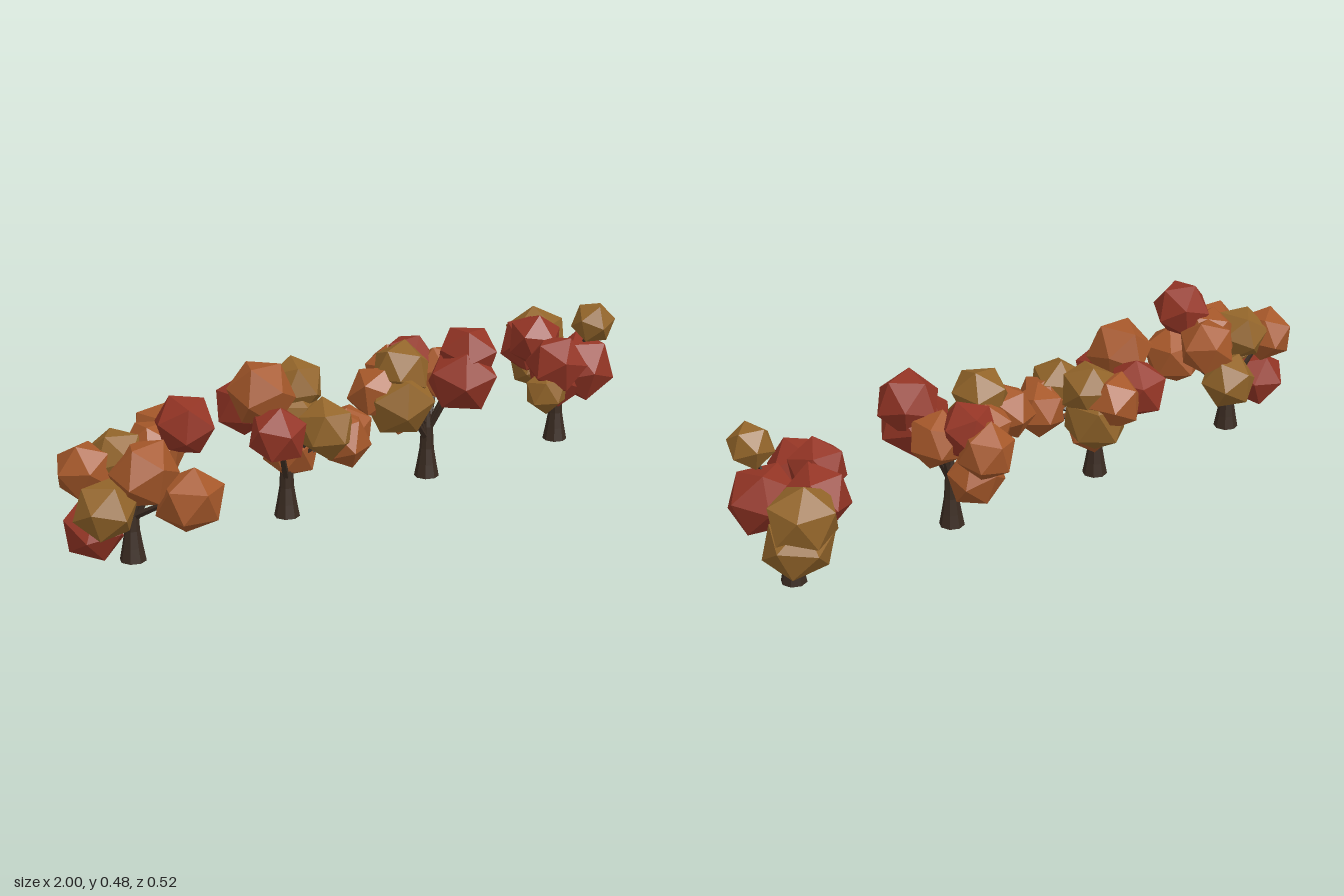
import * as THREE from 'three';

// Leaf clump kinds: colour and size
const leafMaterial = (color) => new THREE.MeshStandardMaterial({ color, flatShading: true });
const redMat = leafMaterial(0x943525);
const orangeMat = leafMaterial(0xa6582a);
const ochreMat = leafMaterial(0x93652a);
const red = { material: redMat, radius: 0.094 };
const bigRed = { material: redMat, radius: 0.106 };
const orange = { material: orangeMat, radius: 0.088 };
const bigOrange = { material: orangeMat, radius: 0.1 };
const ochre = { material: ochreMat, radius: 0.09 };
const bigOchre = { material: ochreMat, radius: 0.104 };
const smallOchre = { material: ochreMat, radius: 0.074 };
const barkMat = new THREE.MeshStandardMaterial({ color: 0x3a2b21, flatShading: true });

let seed = 7;
const rand = () => (seed = (seed * 16807) % 2147483647) / 2147483647;

// Tapered low-poly limb between two points
function limb(a, b, r0, r1) {
  const dir = b.clone().sub(a);
  const mesh = new THREE.Mesh(new THREE.CylinderGeometry(r1, r0, dir.length(), 5), barkMat);
  mesh.position.copy(a).add(b).multiplyScalar(0.5);
  mesh.quaternion.setFromUnitVectors(new THREE.Vector3(0, 1, 0), dir.normalize());
  mesh.name = 'branch';
  return mesh;
}

// Flared eight-sided trunk
function makeTrunk() {
  const profile = new THREE.SplineCurve([
    new THREE.Vector2(0.038, 0), new THREE.Vector2(0.022, 0.09),
    new THREE.Vector2(0.018, 0.16), new THREE.Vector2(0.001, 0.25),
  ]).getPoints(6);
  const trunk = new THREE.Mesh(new THREE.LatheGeometry(profile, 8), barkMat);
  trunk.name = 'trunk';
  const base = new THREE.Mesh(new THREE.CircleGeometry(0.038, 8), barkMat);
  base.name = 'trunkBase';
  base.rotation.x = Math.PI / 2;
  trunk.add(base);
  return trunk;
}

// Faceted leaf clump, carried by a bent branch out of the trunk
function addClump(tree, leaf, x, y, z) {
  const end = new THREE.Vector3(x, y, z);
  const start = new THREE.Vector3(0, Math.min(0.1 + 0.07 * rand(), y), 0);
  const bend = start.clone().lerp(end, 0.5);
  bend.y += 0.01;
  tree.add(limb(start, bend, 0.011, 0.008), limb(bend, end, 0.008, 0.004));

  const uneven = () => 0.92 + 0.16 * rand();
  const geometry = new THREE.IcosahedronGeometry(leaf.radius, 0).scale(uneven(), uneven(), uneven());
  const clump = new THREE.Mesh(geometry, leaf.material);
  clump.name = 'leafClump';
  clump.position.copy(end);
  clump.rotation.set(rand() * 6.28, rand() * 6.28, rand() * 6.28);
  tree.add(clump);
}

// Tree at x; clumps are placed relative to the foot of the trunk
function makeTree(x, clumps) {
  const tree = new THREE.Group();
  tree.name = 'tree';
  tree.position.x = x;
  tree.add(makeTrunk());
  for (const [leaf, ...place] of clumps) addClump(tree, leaf, ...place);
  return tree;
}

export function createModel() {
  seed = 7;
  const model = new THREE.Group();
  model.name = 'autumnTreeRow';
  model.add(
    makeTree(-0.775, [
      [red, 0.115, 0.4, 0.1], [orange, 0.14, 0.33, -0.05], [bigOrange, 0.08, 0.21, 0.17],
      [bigOrange, -0.02, 0.29, 0.1], [ochre, -0.04, 0.31, 0], [ochre, -0.14, 0.21, 0.09],
      [red, -0.13, 0.13, 0.01], [orange, -0.135, 0.29, -0.02], [ochre, 0.09, 0.22, -0.1],
      [orange, 0.06, 0.32, 0.03],
    ]),
    makeTree(-0.24, [
      [bigOrange, -0.08, 0.39, -0.01], [red, -0.05, 0.32, -0.13], [red, -0.09, 0.29, 0.08],
      [ochre, 0.11, 0.35, -0.1], [bigOchre, 0.09, 0.26, -0.11], [orange, 0.06, 0.32, -0.16],
      [ochre, 0.07, 0.28, 0.1], [orange, 0.13, 0.24, 0.1], [orange, 0.17, 0.24, 0.06],
      [orange, 0.04, 0.19, -0.03],
    ]),
    makeTree(0.295, [
      [ochre, -0.13, 0.37, 0.03], [orange, -0.2, 0.31, 0], [bigOchre, -0.15, 0.28, 0.05],
      [orange, -0.09, 0.3, -0.04], [red, 0.09, 0.39, 0.08], [bigRed, 0.06, 0.32, 0.09],
      [orange, 0.07, 0.31, -0.03], [red, 0, 0.34, -0.09], [orange, -0.01, 0.3, -0.16],
      [orange, -0.01, 0.2, -0.11],
    ]),
    makeTree(0.835, [
      [smallOchre, 0.055, 0.4, 0.1], [red, -0.08, 0.34, -0.02], [red, -0.09, 0.29, 0.09],
      [bigRed, 0.05, 0.25, 0.06], [smallOchre, -0.13, 0.21, 0.09], [bigOchre, 0.06, 0.29, -0.165],
      [bigOchre, 0.07, 0.21, -0.155], [red, -0.03, 0.3, -0.1], [red, -0.03, 0.22, 0.03],
    ]),
  );
  return model;
}
